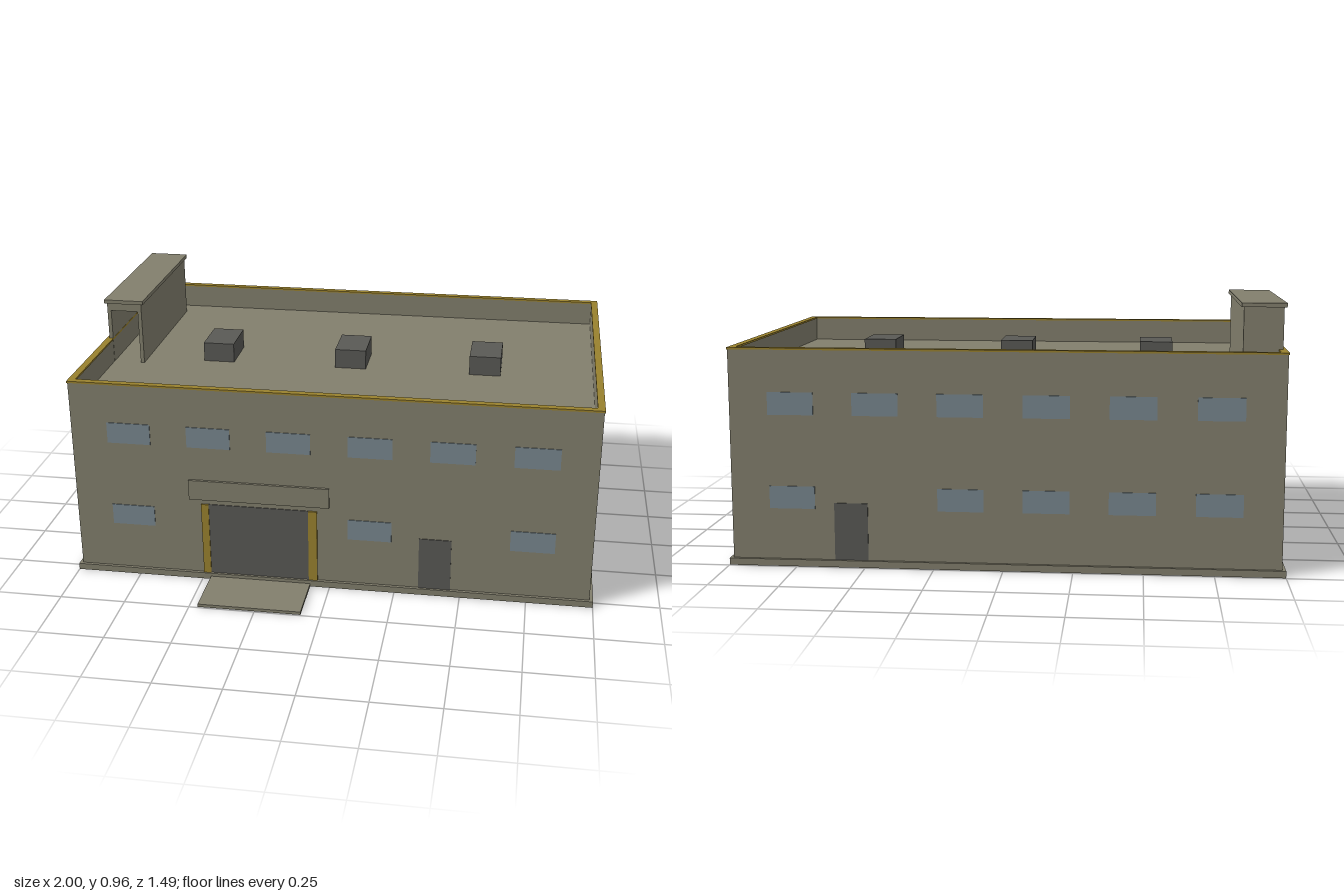
import * as THREE from 'three';

const material = (name, color) => {
  const m = new THREE.MeshStandardMaterial({ color });
  m.name = name;
  return m;
};

export function createModel() {
  const model = new THREE.Group();
  model.name = 'warehouse';
  const wall = material('concrete', 0x827f6d);
  const trim = material('ochre', 0x99812e);
  const dark = material('darkGrey', 0x595955);
  const glass = material('blueGlass', 0x78878f);

  // Box given by its minimum and maximum on each axis
  const box = (name, mat, x0, x1, y0, y1, z0, z1, parent = model) => {
    const mesh = new THREE.Mesh(new THREE.BoxGeometry(x1 - x0, y1 - y0, z1 - z0), mat);
    mesh.position.set((x0 + x1) / 2, (y0 + y1) / 2, (z0 + z1) / 2);
    mesh.name = name;
    parent.add(mesh);
    return mesh;
  };

  // Upright rectangular ring, open in the middle
  const zc = -0.105;
  const ring = (name, mat, hx, hz, ix, iz, y0, y1) => {
    const rect = (S, a, b) => new S([[-a, -b], [a, -b], [a, b], [-a, b]].map(p => new THREE.Vector2(...p)));
    const shape = rect(THREE.Shape, hx, hz);
    shape.holes.push(rect(THREE.Path, ix, iz));
    const geo = new THREE.ExtrudeGeometry(shape, { depth: y1 - y0, bevelEnabled: false });
    geo.rotateX(-Math.PI / 2);
    const mesh = new THREE.Mesh(geo, mat);
    mesh.position.set(0, y0, zc);
    mesh.name = name;
    model.add(mesh);
  };

  // Main building
  box('foundation', wall, -1, 1, 0, 0.025, -0.745, 0.535);
  ring('outerWalls', wall, 0.987, 0.628, 0.965, 0.606, 0.025, 0.79);
  ring('parapetCap', trim, 0.99, 0.631, 0.963, 0.604, 0.788, 0.795);
  box('flatRoof', wall, -0.966, 0.966, 0.67, 0.695, -0.712, 0.502);

  // Facades: local x runs along the wall, local z points outwards
  const facade = (name, x, z, turn) => {
    const g = new THREE.Group();
    g.name = name;
    g.position.set(x, 0, z);
    g.rotation.y = turn;
    model.add(g);
    return g;
  };
  const windows = (g, centres, y) => centres.forEach(c =>
    box('window', glass, c - 0.083, c + 0.083, y, y + 0.082, -0.002, 0.003, g));
  const door = (g, c) => box('door', dark, c - 0.061, c + 0.061, 0.025, 0.235, -0.002, 0.003, g);
  const low = 0.212, high = 0.554;
  const six = [-0.764, -0.458, -0.153, 0.153, 0.458, 0.764];
  const three = [-0.306, 0, 0.306];

  const front = facade('frontFacade', 0, 0.523, 0);
  windows(front, six, high);
  windows(front, [-0.764, 0.153, 0.764], low);
  door(front, 0.402);

  const back = facade('backFacade', 0, -0.733, Math.PI);
  windows(back, six, high);
  windows(back, [-0.764, -0.153, 0.153, 0.458, 0.764], low);
  door(back, -0.55);

  const left = facade('leftFacade', 0.987, zc, Math.PI / 2);
  windows(left, three, high);
  windows(left, [0, 0.306], low);
  door(left, -0.272);

  const right = facade('rightFacade', -0.987, zc, -Math.PI / 2);
  windows(right, three, high);
  windows(right, three, low);

  // Loading gate with posts, canopy and ramp
  box('loadingGate', dark, -0.467, -0.08, 0.025, 0.32, 0.52, 0.526);
  box('gatePost', trim, -0.495, -0.466, 0.025, 0.32, 0.52, 0.53);
  box('gatePost', trim, -0.081, -0.047, 0.025, 0.32, 0.52, 0.53);
  box('gateCanopy', wall, -0.54, 0, 0.34, 0.42, 0.52, 0.533);
  box('ramp', wall, -0.467, -0.075, 0, 0.012, 0.53, 0.745);

  // Roof vents
  for (const x of [-0.541, 0, 0.539]) {
    box('roofVent', dark, x - 0.062, x + 0.062, 0.69, 0.772, -0.2, -0.02);
  }

  // Hollow rooftop shed, open to the front
  const shed = new THREE.Group();
  shed.name = 'rooftopShed';
  model.add(shed);
  box('shedWall', wall, -0.979, -0.964, 0.69, 0.945, -0.625, 0.04, shed);
  box('shedWall', wall, -0.854, -0.839, 0.69, 0.945, -0.625, 0.04, shed);
  box('shedBackWall', wall, -0.964, -0.854, 0.69, 0.945, -0.625, -0.61, shed);
  box('shedCeiling', wall, -0.964, -0.854, 0.912, 0.945, -0.61, 0.04, shed);
  box('shedRoof', wall, -0.988, -0.83, 0.943, 0.958, -0.635, 0.047, shed);

  return model;
}
